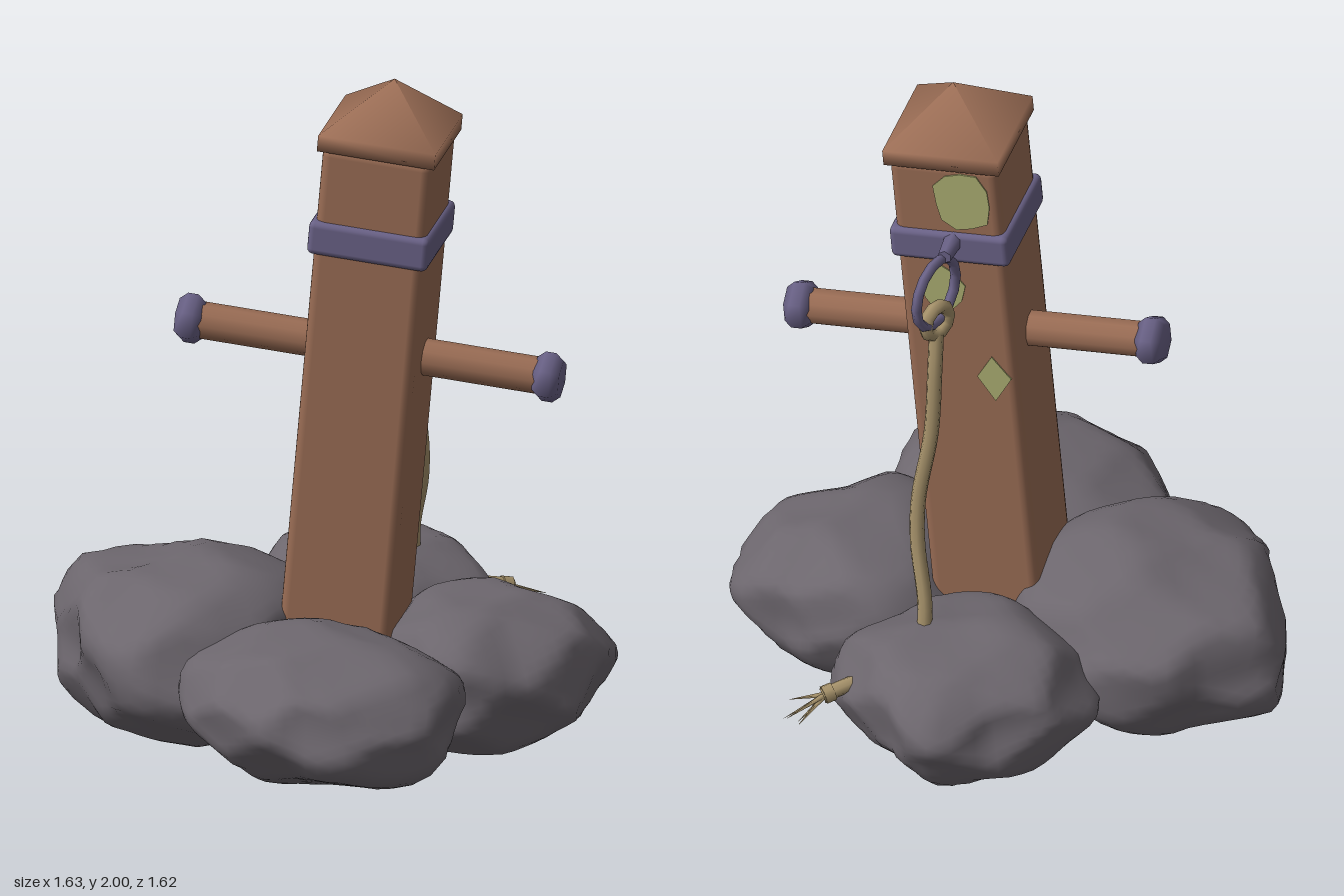
import * as THREE from 'three';
import { mergeVertices } from 'three/addons/utils/BufferGeometryUtils.js';
import { RoundedBoxGeometry } from 'three/addons/geometries/RoundedBoxGeometry.js';

const V = (x, y, z) => new THREE.Vector3(x, y, z);

function material(name, color) {
  const m = new THREE.MeshStandardMaterial({ color });
  m.name = name;
  return m;
}

function add(parent, name, geometry, mat, x = 0, y = 0, z = 0) {
  const mesh = new THREE.Mesh(geometry, mat);
  mesh.name = name;
  mesh.position.set(x, y, z);
  parent.add(mesh);
  return mesh;
}

// Few-sided lathe with soft edges
const lathe = (profile, sides, start) =>
  new THREE.LatheGeometry(profile.map(([r, y]) => new THREE.Vector2(r, y)), sides, start);

// Evenly spread, slightly shifted directions for the boulders' chipped faces
function chipDirections(count, seed) {
  const dirs = [];
  for (let i = 0; i < count; i++) {
    const y = 1 - (2 * i + 1) / count;
    const a = i * 2.4 + seed + 0.4 * Math.sin(i * 5.1 + seed);
    const r = Math.sqrt(1 - y * y);
    dirs.push(V(r * Math.cos(a), y, r * Math.sin(a)));
  }
  return dirs;
}

// Boulder: a chipped sphere stretched to a plan outline (radius every 30 degrees from +x to +z),
// with separate bluntness above and below its widest level
function boulderGeometry(outline, height, upper, lower, seed) {
  let g = new THREE.IcosahedronGeometry(1, 10);
  g.deleteAttribute('normal');
  g.deleteAttribute('uv');
  g = mergeVertices(g, 1e-4);
  const p = g.attributes.position;
  const n = outline.length;
  const chips = chipDirections(26, seed);
  const v = V(0, 0, 0);
  for (let i = 0; i < p.count; i++) {
    v.fromBufferAttribute(p, i);
    const { x, y, z } = v;
    const t = ((Math.atan2(z, x) / (2 * Math.PI) + 1) % 1) * n;
    const k = Math.floor(t) % n, f = t - Math.floor(t);
    const radius = THREE.MathUtils.lerp(outline[k], outline[(k + 1) % n], f);
    const power = y > 0 ? upper : lower;
    const bulge = Math.pow(Math.hypot(x, z) ** power + Math.abs(y) ** power, -1 / power);
    // Flat chips, then broad dents
    let chip = 1.04;
    chips.forEach((d, j) => {
      const dot = d.dot(v);
      if (dot > 0.5) chip = Math.min(chip, (0.94 + 0.025 * Math.sin(j * 3.7 + seed)) / dot);
    });
    const swell = Math.sin(4.1 * x + seed * 2) * Math.sin(3.7 * z - seed) + Math.sin(5 * y + 3 * x + seed);
    const d = bulge * (chip + 0.005 + 0.018 * swell);
    p.setXYZ(i, x * radius * d, y * height * d, z * radius * d);
  }
  g.computeVertexNormals();
  return g;
}

export function createModel() {
  const wood = material('wood', 0x996c54);
  const metal = material('violet iron', 0x6a6287);
  const stone = material('stone', 0x6c666d);
  const hemp = material('rope', 0xa5916a);
  const moss = material('moss', 0xabae72);
  const model = new THREE.Group();
  model.name = 'mooringPost';

  // Leaning post with everything fixed square to it
  const post = new THREE.Group();
  post.name = 'leaningPost';
  post.position.set(0.026, 0, 0.01);
  post.rotation.z = -0.087;
  model.add(post);
  add(post, 'postShaft', new RoundedBoxGeometry(0.32, 1.66, 0.32, 2, 0.028), wood, 0, 1.0, 0);
  add(post, 'postCap', lathe(
    [[0, 1.82], [0.241, 1.82], [0.241, 1.867], [0, 2.008]], 4, Math.PI / 4), wood);
  add(post, 'ironBand', new RoundedBoxGeometry(0.35, 0.1, 0.35, 2, 0.018), metal, 0, 1.557, 0);

  // Crossbar with hexagonal end caps
  const capProfile = [[0, -0.038], [0.055, -0.038], [0.075, -0.015], [0.075, 0.015], [0.055, 0.038], [0, 0.038]];
  for (const side of [-1, 1]) {
    const bar = add(post, 'crossbar', new THREE.CylinderGeometry(0.053, 0.053, 0.4, 10), wood, side * 0.31, 1.19, 0);
    const cap = add(post, 'crossbarCap', lathe(capProfile, 6, Math.PI / 6), metal, side * 0.52, 1.19, 0);
    bar.rotation.z = cap.rotation.z = Math.PI / 2;
  }

  // Moss patches on the back face
  const patches = [
    [-0.05, 1.715, 0.085, 0.1, 11],
    [0.035, 1.41, 0.066, 0.078, 9],
    [-0.092, 1.12, 0.052, 0.075, 4],
  ];
  for (const [x, y, w, h, sides] of patches) {
    const pts = [];
    for (let i = 0; i < sides; i++) {
      const a = (i / sides) * Math.PI * 2 + Math.PI / 2;
      const r = 1 + 0.08 * Math.sin(i * 2.4 + sides);
      pts.push(new THREE.Vector2(Math.cos(a) * w * r, Math.sin(a) * h * r));
    }
    const g = new THREE.ExtrudeGeometry(new THREE.Shape(pts), { depth: 0.006, bevelEnabled: false });
    add(post, 'mossPatch', g, moss, x, y, -0.164);
  }

  // Hanging ring and its staple
  const ring = add(model, 'ironRing', new THREE.TorusGeometry(0.103, 0.015, 6, 14), metal, 0.167, 1.467, -0.266);
  ring.rotation.y = 1.3;
  const staple = add(model, 'ringStaple', new THREE.CylinderGeometry(0.02, 0.028, 0.09, 6), metal, 0.15, 1.575, -0.195);
  staple.rotation.x = -Math.PI / 2;

  // Rope: loop on the ring, hanging length, and frayed tail past the back boulder
  const loop = add(model, 'ropeLoop', new THREE.TorusGeometry(0.045, 0.021, 7, 10), hemp, 0.165, 1.37, -0.265);
  loop.rotation.y = 1.1;
  const rope = (name, pts) => add(model, name,
    new THREE.TubeGeometry(new THREE.CatmullRomCurve3(pts), 28, 0.022, 7), hemp);
  rope('hangingRope', [V(0.165, 1.33, -0.27), V(0.162, 1.22, -0.295), V(0.165, 1.02, -0.32),
    V(0.195, 0.8, -0.345), V(0.19, 0.67, -0.37), V(0.155, 0.5, -0.415), V(0.15, 0.38, -0.44)]);
  rope('ropeTail', [V(0.24, 0.3, -0.49), V(0.33, 0.285, -0.57), V(0.395, 0.265, -0.62)]);
  const cuff = add(model, 'ropeCuff', new THREE.CylinderGeometry(0.027, 0.027, 0.03, 8), hemp, 0.38, 0.27, -0.608);
  cuff.quaternion.setFromUnitVectors(V(0, 1, 0), V(0.065, -0.02, -0.05).normalize());

  const knotEnd = V(0.385, 0.268, -0.612);
  const tips = [V(0.48, 0.22, -0.7), V(0.495, 0.2, -0.67), V(0.495, 0.235, -0.625),
    V(0.45, 0.19, -0.68), V(0.46, 0.18, -0.65)];
  for (const tip of tips) {
    const dir = tip.clone().sub(knotEnd);
    const strand = add(model, 'frayedStrand', new THREE.ConeGeometry(0.009, dir.length(), 5), hemp);
    strand.position.copy(knotEnd).addScaledVector(dir, 0.5);
    strand.quaternion.setFromUnitVectors(V(0, 1, 0), dir.normalize());
  }

  // Boulders packed around the foot
  const boulders = [
    ['rightBoulder', -0.42, 0.265, 0.04, 0.255, 2.4, 2.2, 1.2,
      [0.4, 0.4, 0.44, 0.42, 0.34, 0.32, 0.36, 0.44, 0.39, 0.42, 0.44, 0.44]],
    ['frontBoulder', 0.09, 0.265, 0.45, 0.208, 2.25, 2.15, 2.6,
      [0.4, 0.45, 0.37, 0.34, 0.34, 0.37, 0.4, 0.4, 0.38, 0.34, 0.34, 0.38]],
    ['leftBoulder', 0.46, 0.24, 0, 0.218, 2.4, 2, 4.1,
      [0.34, 0.34, 0.31, 0.37, 0.35, 0.34, 0.34, 0.34, 0.36, 0.34, 0.32, 0.37]],
    ['backBoulder', 0.03, 0.255, -0.45, 0.203, 2.2, 2.2, 5.3,
      [0.38, 0.33, 0.32, 0.32, 0.31, 0.35, 0.37, 0.37, 0.32, 0.35, 0.3, 0.33]],
  ];
  for (const [name, x, y, z, height, upper, lower, seed, outline] of boulders) {
    add(model, name, boulderGeometry(outline, height, upper, lower, seed), stone, x, y, z);
  }
  return model;
}
